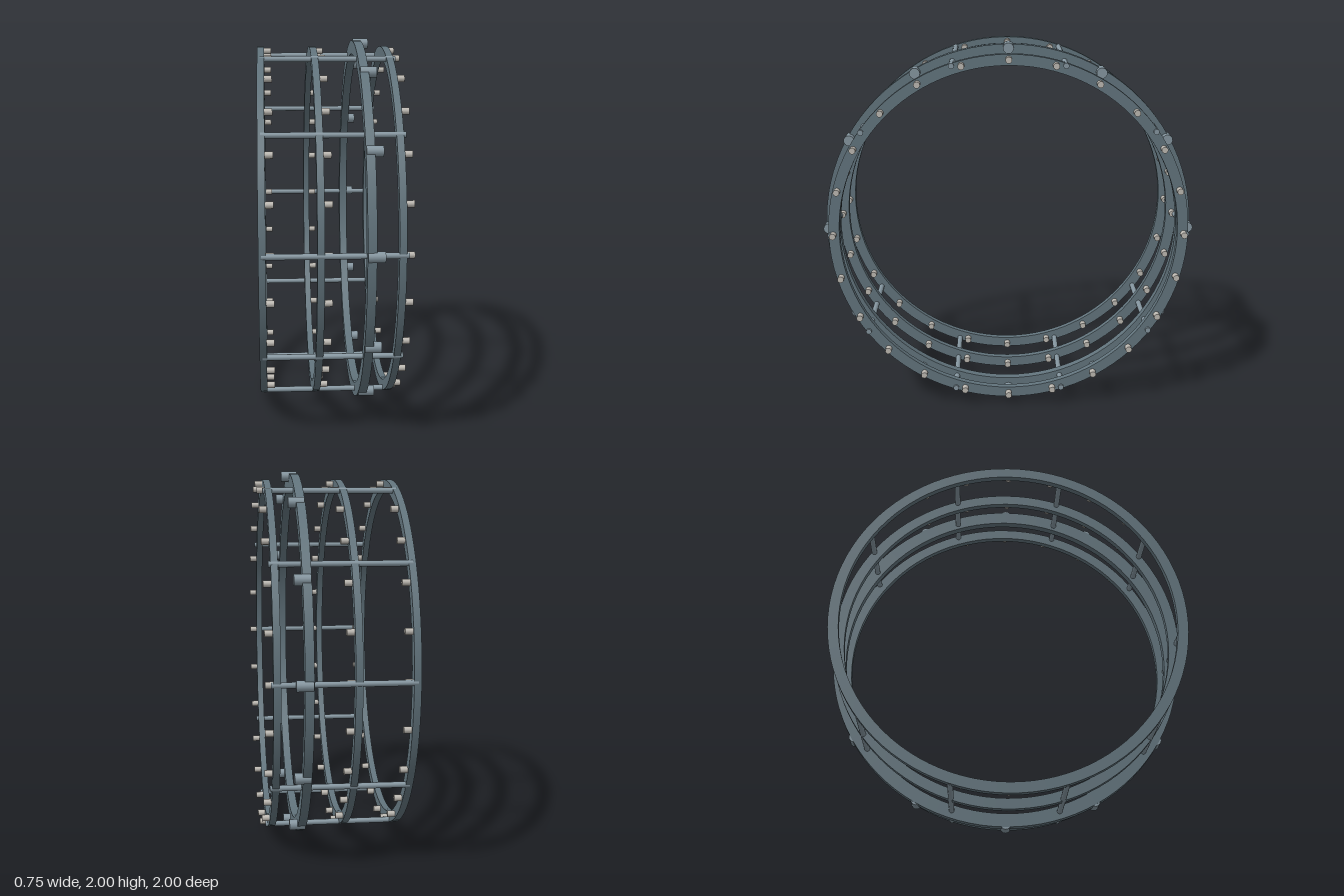
import * as THREE from 'three';
import { toCreasedNormals } from 'three/addons/utils/BufferGeometryUtils.js';

const ringSteel = new THREE.MeshStandardMaterial({ color: 0x62747d });
ringSteel.name = 'ringSteel';
const rodSteel = new THREE.MeshStandardMaterial({ color: 0x8596a0 });
rodSteel.name = 'rodSteel';
const boltMetal = new THREE.MeshStandardMaterial({ color: 0xbdb9b2 });
boltMetal.name = 'boltMetal';

// Flat hoop around the x axis with a rectangular section
function ring(name, x0, x1, inner, outer) {
  const profile = [[outer, x0], [outer, x1], [inner, x1], [inner, x0], [outer, x0]]
    .map(([r, x]) => new THREE.Vector2(r, x));
  const geometry = toCreasedNormals(new THREE.LatheGeometry(profile, 96), 0.6);
  geometry.rotateZ(-Math.PI / 2);
  const mesh = new THREE.Mesh(geometry, ringSteel);
  mesh.name = name;
  return mesh;
}

// Evenly spaced cylinders parallel to the x axis
function pins(name, count, circle, radius, x0, x1, material, sides = 16) {
  const group = new THREE.Group();
  group.name = name;
  const geometry = new THREE.CylinderGeometry(radius, radius, x1 - x0, sides);
  geometry.rotateZ(-Math.PI / 2);
  for (let i = 0; i < count; i++) {
    const a = (i / count) * Math.PI * 2;
    const pin = new THREE.Mesh(geometry, material);
    pin.name = name + (i + 1);
    pin.position.set((x0 + x1) / 2, Math.sin(a) * circle, Math.cos(a) * circle);
    group.add(pin);
  }
  return group;
}

export function createModel() {
  const model = new THREE.Group();
  model.name = 'ringCage';
  const cage = new THREE.Group();
  cage.name = 'cage';
  cage.position.y = 1;
  model.add(cage);

  // Three slim hoops, each with a circle of small bolts on its left face
  [['rightRing', -0.375], ['middleRing', -0.095], ['leftRing', 0.295]].forEach(([name, x]) => {
    cage.add(ring(name, x, x + 0.036, 0.9, 0.957));
    cage.add(pins(name + 'Bolt', 24, 0.932, 0.017, x + 0.03, x + 0.075, boltMetal));
  });

  // Heavier hoop with large studs
  cage.add(ring('mainRing', 0.14, 0.185, 0.915, 0.988));
  cage.add(pins('mainRingStud', 12, 0.972, 0.028, 0.143, 0.226, rodSteel));

  // Tie rods joining all hoops
  cage.add(pins('tieRod', 10, 0.945, 0.015, -0.36, 0.343, rodSteel));
  return model;
}
